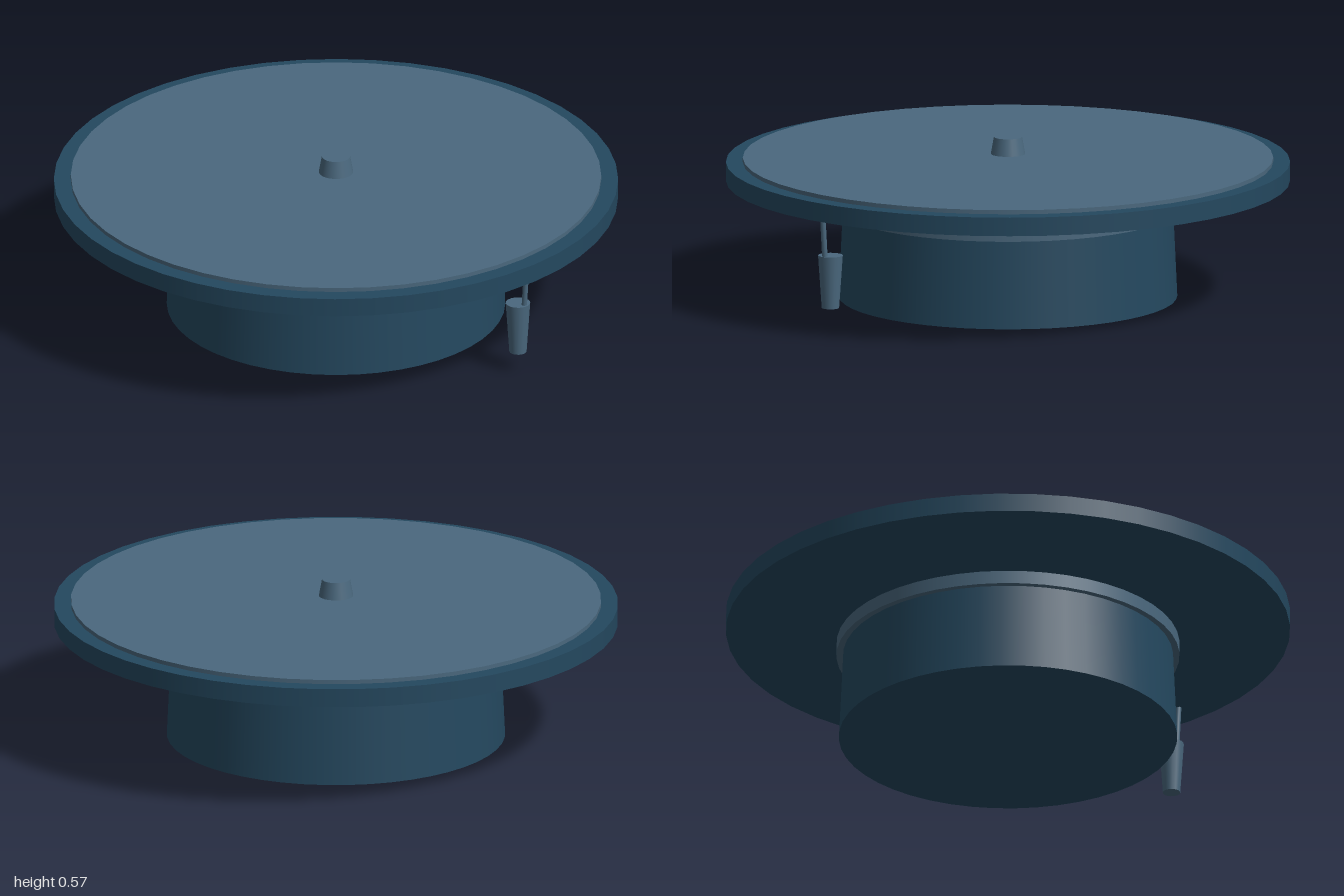
import * as THREE from 'three';

export function createModel() {
  const model = new THREE.Group();
  const navy = new THREE.MeshStandardMaterial({ color: 0x24485f });
  navy.name = 'navy cloth';
  const slate = new THREE.MeshStandardMaterial({ color: 0x4a687e });
  slate.name = 'slate trim';

  // Capped round part standing between heights y0 and y1
  function round(name, material, rBottom, rTop, y0, y1, sides, x = 0, z = 0) {
    const geometry = new THREE.CylinderGeometry(rTop, rBottom, y1 - y0, sides);
    const mesh = new THREE.Mesh(geometry, material);
    mesh.name = name;
    mesh.position.set(x, (y0 + y1) / 2, z);
    model.add(mesh);
    return mesh;
  }

  // Cap body and the band around its top
  round('crown', navy, 0.6, 0.583, 0, 0.364, 48);
  round('band', slate, 0.608, 0.608, 0.318, 0.366, 48);

  // Wide board with its raised panel and the button above it
  round('board', navy, 1, 1, 0.418, 0.485, 48);
  round('topPanel', slate, 0.94, 0.94, 0.485, 0.5, 48);
  round('button', slate, 0.061, 0.05, 0.514, 0.575, 24);

  // Cord hanging from the board, leaning slightly, and its tassel
  const cord = new THREE.Mesh(
    new THREE.TubeGeometry(
      new THREE.LineCurve3(new THREE.Vector3(0.89, 0.43, 0.045), new THREE.Vector3(0.874, 0.2, 0.045)),
      1, 0.01, 10
    ),
    slate
  );
  cord.name = 'cord';
  model.add(cord);
  round('tassel', slate, 0.031, 0.044, 0.073, 0.263, 16, 0.85, 0.045);

  return model;
}
